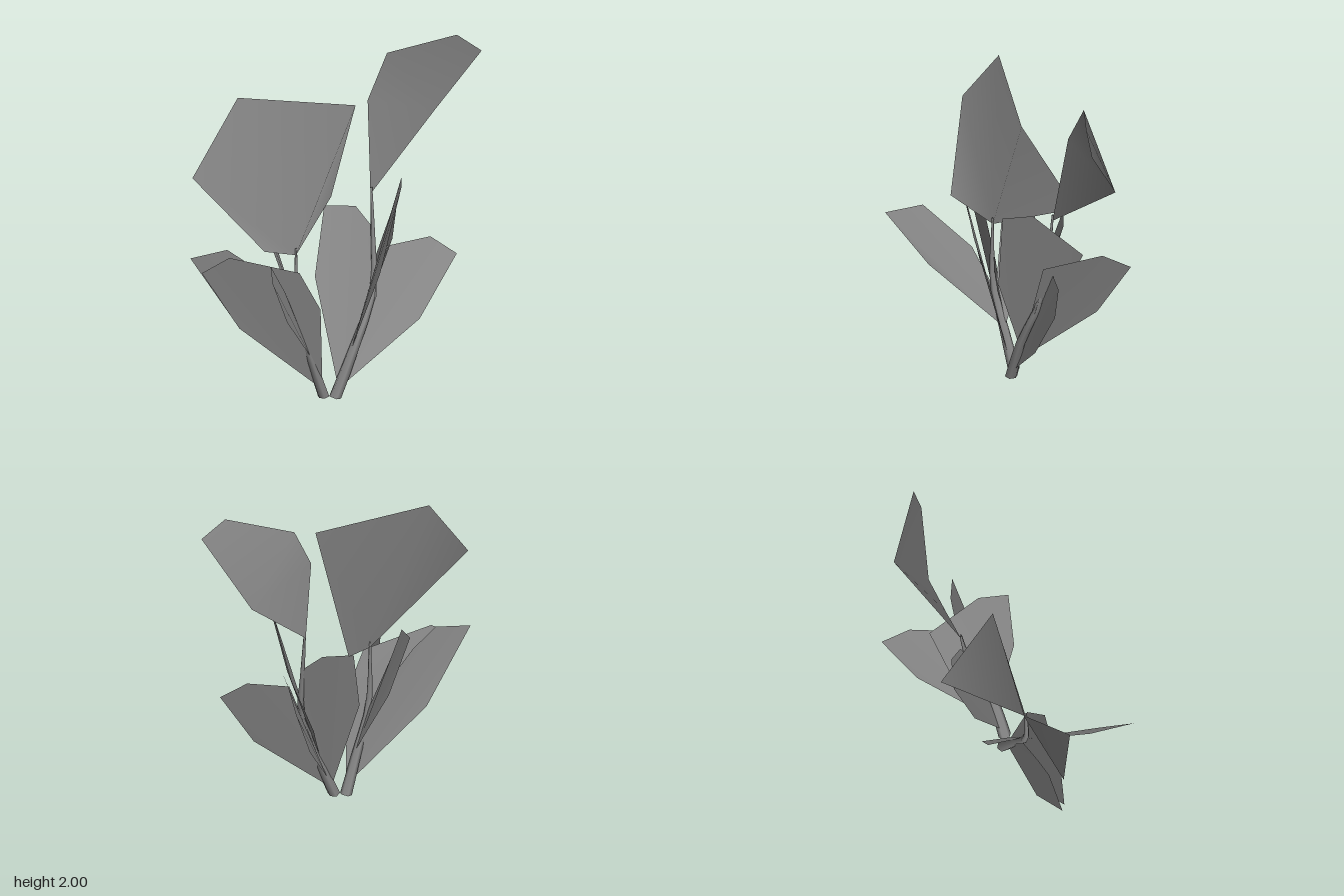
import * as THREE from 'three';

const material = new THREE.MeshStandardMaterial({ color: 0x888888, side: THREE.DoubleSide });

// Thin blade: a fan of triangles opening from the first corner, with softened shading
function blade(name, outline) {
  const geometry = new THREE.BufferGeometry();
  geometry.setAttribute('position', new THREE.Float32BufferAttribute(outline.flat(), 3));
  const index = [];
  for (let i = 1; i < outline.length - 1; i++) index.push(0, i, i + 1);
  geometry.setIndex(index);
  geometry.computeVertexNormals();

  // Pull each corner normal towards the blade's mean normal, for a gently bowed look
  const normal = geometry.attributes.normal;
  const corners = outline.map((_, i) => new THREE.Vector3().fromBufferAttribute(normal, i));
  const mean = corners.reduce((sum, n) => sum.add(n), new THREE.Vector3()).normalize();
  corners.forEach((n, i) => {
    n.lerp(mean, 0.65).normalize();
    normal.setXYZ(i, n.x, n.y, n.z);
  });

  const mesh = new THREE.Mesh(geometry, material);
  mesh.name = name;
  return mesh;
}

// Six-sided tube along a bent path, thinning from r0 to r1
function stem(name, points, r0, r1) {
  const sides = 6, steps = 8;
  const curve = new THREE.CatmullRomCurve3(points.map(p => new THREE.Vector3(...p)));
  const geometry = new THREE.TubeGeometry(curve, steps, 1, sides);
  const pos = geometry.attributes.position;
  const v = new THREE.Vector3();
  for (let i = 0; i < pos.count; i++) {
    const t = Math.floor(i / (sides + 1)) / steps;
    const centre = curve.getPointAt(t);
    v.fromBufferAttribute(pos, i).sub(centre).multiplyScalar(r0 + (r1 - r0) * t).add(centre);
    pos.setXYZ(i, v.x, Math.max(0, v.y), v.z);
  }
  const mesh = new THREE.Mesh(geometry, material);
  mesh.name = name;
  return mesh;
}

export function createModel() {
  const model = new THREE.Group();
  model.name = 'plant';

  // Plant on +x: stem, tall flower blade and four leaves
  const leftPlant = new THREE.Group();
  leftPlant.name = 'leftPlant';
  const a = [0, 0.05, -0.03];
  leftPlant.add(
    stem('leftStem', [[-0.02, 0, -0.02], [0.1, 0.3, -0.05], [0.21, 0.58, -0.12], [0.22, 0.85, -0.17], [0.215, 1.16, -0.2]], 0.036, 0.006),
    blade('leftFlower', [[0.62, 1.51, -0.46], [0.85, 1.9, -0.27], [0.71, 2, -0.27],
      [0.33, 1.89, -0.35], [0.21, 1.64, -0.29], [0.21, 1.12, -0.2]]),
    blade('leftBackLeaf', [a, [0.23, 0.56, -0.1], [0.22, 0.93, -0.2], [0.14, 1.03, -0.28],
      [-0.03, 1.03, -0.32], [-0.1, 0.65, -0.22]]),
    blade('leftRearSideLeaf', [[0.03, 0.13, -0.05], [0.27, 0.53, -0.44], [0.41, 0.88, -0.6],
      [0.4, 0.97, -0.44], [0.32, 0.88, -0.12]]),
    blade('leftTallLeaf', [[0.07, 0.26, -0.04], [0.21, 0.75, 0.11], [0.33, 1.25, 0.115],
      [0.36, 1.26, -0.05], [0.35, 0.96, -0.34], [0.18, 0.55, -0.25]]),
    blade('leftSideLeaf', [a, [0.46, 0.43, -0.04], [0.68, 0.78, -0.1], [0.54, 0.87, -0.155],
      [0.3, 0.82, -0.18], [0.22, 0.56, -0.12]]),
  );

  // Plant on -x: stem, broad flower blade and four leaves
  const rightPlant = new THREE.Group();
  rightPlant.name = 'rightPlant';
  const b = [-0.09, 0.05, -0.03];
  rightPlant.add(
    stem('rightStem', [[-0.08, 0, -0.05], [-0.16, 0.24, -0.01], [-0.24, 0.48, 0.03], [-0.25, 0.9, 0.03]], 0.034, 0.006),
    blade('rightFlower', [[-0.25, 0.86, 0.03], [0.02, 1.06, -0.38], [0.1, 1.69, -0.05],
      [-0.56, 1.76, -0.08], [-0.84, 1.35, 0.06], [-0.46, 0.95, 0.22]]),
    blade('rightBroadLeaf', [b, [-0.12, 0.55, 0.08], [-0.25, 0.79, 0.14], [-0.64, 0.89, 0.11],
      [-0.79, 0.8, 0.08], [-0.57, 0.45, 0.03]]),
    blade('rightSideLeaf', [b, [-0.3, 0.58, 0], [-0.5, 0.81, 0.02], [-0.64, 0.915, 0.04],
      [-0.85, 0.88, 0.05], [-0.57, 0.45, -0.01]]),
    blade('rightBackLeaf', [[-0.15, 0.26, -0.02], [-0.28, 0.67, -0.2], [-0.38, 1.05, -0.27],
      [-0.395, 1.01, -0.09], [-0.36, 0.85, -0.05], [-0.24, 0.5, 0.01]]),
    blade('rightFrontLeaf', [[-0.16, 0.25, 0], [-0.36, 0.58, 0.37], [-0.48, 0.88, 0.59],
      [-0.455, 0.915, 0.38], [-0.33, 0.68, 0.13], [-0.24, 0.46, 0.03]]),
  );

  model.add(leftPlant, rightPlant);
  return model;
}
